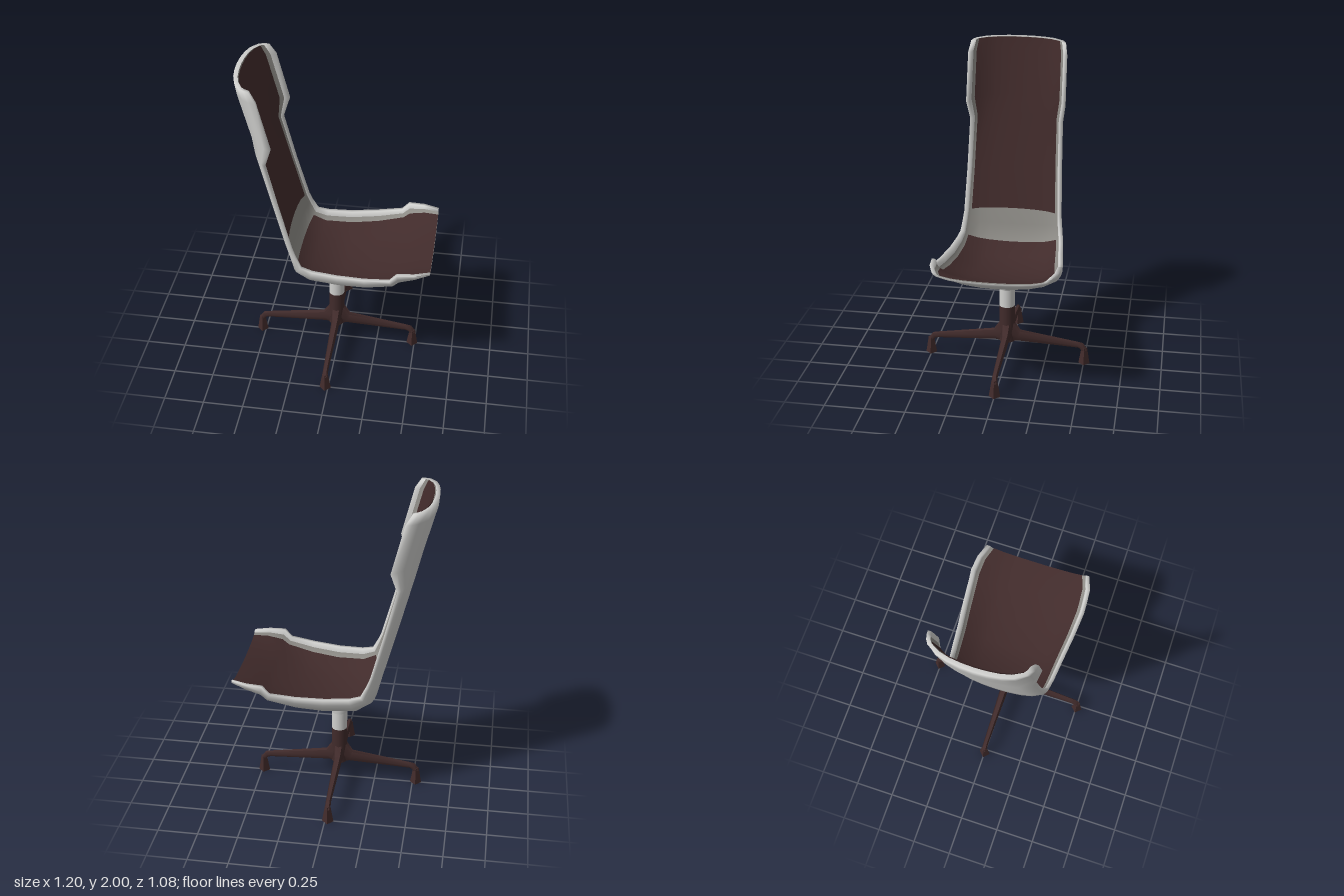
import * as THREE from 'three';
import { toCreasedNormals } from 'three/addons/utils/BufferGeometryUtils.js';

const material = (name, color, side = THREE.DoubleSide) => {
  const m = new THREE.MeshStandardMaterial({ color, side });
  m.name = name;
  return m;
};

// Surface through rows of points, each row a cross-section
function loft(rows, crease) {
  const cols = rows[0].length, index = [];
  for (let i = 0; i < rows.length - 1; i++) {
    for (let j = 0; j < cols - 1; j++) {
      const a = i * cols + j, b = a + cols;
      index.push(a, b, a + 1, b, b + 1, a + 1);
    }
  }
  const g = new THREE.BufferGeometry();
  g.setAttribute('position', new THREE.Float32BufferAttribute(rows.flat(2), 3));
  g.setIndex(index);
  return toCreasedNormals(g, crease);
}

// Shell stations from headrest to seat front:
// spine x, y, rim x, y, half width, thickness where it thins out
const STATIONS = [
  [-0.6, 2.0, -0.47, 1.985, 0.3, 0.026],
  [-0.594, 1.93, -0.43, 1.92, 0.313],
  [-0.52, 1.66, -0.355, 1.62, 0.316],
  [-0.49, 1.54, -0.393, 1.5, 0.298],
  [-0.402, 1.2, -0.32, 1.2, 0.305],
  [-0.335, 0.95, -0.245, 0.92, 0.316],
  [-0.3, 0.82, -0.225, 0.87, 0.322],
  [-0.268, 0.69, -0.19, 0.802, 0.332],
  [-0.165, 0.612, -0.12, 0.785, 0.342],
  [0.05, 0.6, 0.03, 0.78, 0.357],
  [0.22, 0.622, 0.2, 0.79, 0.377],
  [0.4, 0.685, 0.355, 0.81, 0.39],
  [0.43, 0.7, 0.4, 0.86, 0.39],
  [0.52, 0.755, 0.5, 0.862, 0.382, 0.025],
  [0.596, 0.8, 0.594, 0.862, 0.35, 0.012],
];
// Cross-section: share of half width, share of depth
const ACROSS = [0, 0.25, 0.5, 0.72, 0.92, 0.975, 1];
const RISE = [0, 0.025, 0.105, 0.25, 0.55, 0.76, 1];
const THICK = 0.034, RIM = 0.022;

// k runs from -6 (right rim) to 6 (left rim)
function shellPoint([px, py, ex, ey, w, thick = THICK], k, inner, lift = 0) {
  const n = Math.abs(k), depth = Math.hypot(ex - px, ey - py);
  const t = inner ? (thick + lift) / depth : 0;
  const f = t + RISE[n] * (1 - t);
  const half = inner ? w - RIM : w;
  return [px + (ex - px) * f, py + (ey - py) * f, Math.sign(k) * half * ACROSS[n]];
}
const range = (from, to) =>
  Array.from({ length: Math.abs(to - from) + 1 }, (_, i) => from + Math.sign(to - from) * i);
const innerRows = (stations, k, lift) =>
  stations.map((s) => range(k, -k).map((j) => shellPoint(s, j, true, lift)));

export function createModel() {
  const silver = material('silver', 0xd0d0ce);
  const grey = material('lining grey', 0x8e8c87);
  const brown = material('dark brown', 0x412b2b);
  const model = new THREE.Group();
  model.name = 'swivelChair';
  const add = (parent, name, geometry, mat, x = 0, y = 0, z = 0) => {
    const mesh = new THREE.Mesh(geometry, mat);
    mesh.name = name;
    mesh.position.set(x, y, z);
    parent.add(mesh);
    return mesh;
  };

  // Shell: outside with rims rolled over the sides, the top and the seat front
  const shellRow = (s, closing) => [
    shellPoint(s, -5, true),
    shellPoint(s, -6, true),
    ...range(-6, 6).map((k) => shellPoint(s, k, closing)),
    shellPoint(s, 6, true),
    shellPoint(s, 5, true),
  ];
  add(model, 'shell', loft([
    shellRow(STATIONS[0], true),
    ...STATIONS.map((s) => shellRow(s, false)),
    shellRow(STATIONS[STATIONS.length - 1], true),
  ], 2), silver);
  add(model, 'lining', loft(innerRows(STATIONS, 5, 0), 1), grey);

  // Upholstery lies just above the lining
  add(model, 'backPad', loft(innerRows(STATIONS.slice(0, 6), 4, 0.007), 1), brown);
  add(model, 'seatPad', loft(innerRows(STATIONS.slice(7), 4, 0.007), 1), brown);

  // Pedestal
  const base = new THREE.Group();
  base.name = 'base';
  base.position.x = -0.018;
  model.add(base);
  add(base, 'lowerColumn', new THREE.CylinderGeometry(0.05, 0.05, 0.25, 16), brown, 0, 0.255);
  add(base, 'upperColumn', new THREE.CylinderGeometry(0.05, 0.05, 0.12, 16), silver, 0, 0.44);
  const flare = new THREE.CylinderGeometry(0.055, 0.05, 0.12, 16);
  const p = flare.attributes.position;
  for (let i = 0; i < p.count; i++) if (p.getY(i) > 0) p.setX(i, p.getX(i) * 1.65);
  add(base, 'seatMount', toCreasedNormals(flare, 0.8), silver, 0, 0.56);

  // Four tapering arms: top x, y, bottom x, y, half width
  const armRows = [
    [0.03, 0.28, 0, 0.118, 0.042],
    [0.085, 0.2, 0.065, 0.135, 0.027],
    [0.45, 0.146, 0.458, 0.112, 0.017],
    [0.492, 0.138, 0.474, 0.106, 0.017],
    [0.522, 0.095, 0.487, 0.09, 0.018],
  ].map(([tx, ty, bx, by, w]) => {
    const side = (z) => [(tx + bx) / 2, (ty + by) / 2, z];
    const u = w * 0.55;
    return [[tx, ty, u], [tx, ty, -u], side(-w), [bx, by, -u], [bx, by, u], side(w), [tx, ty, u]];
  });
  const armGeometry = loft(armRows, 1.1);
  const footGeometry = toCreasedNormals(new THREE.CylinderGeometry(0.018, 0.036, 0.11, 4), 0.5);
  for (let i = 0; i < 4; i++) {
    const leg = new THREE.Group();
    leg.name = 'leg';
    leg.rotation.y = (i * Math.PI) / 2;
    base.add(leg);
    add(leg, 'arm', armGeometry, brown);
    add(leg, 'foot', footGeometry, brown, 0.503, 0.055);
  }
  return model;
}
